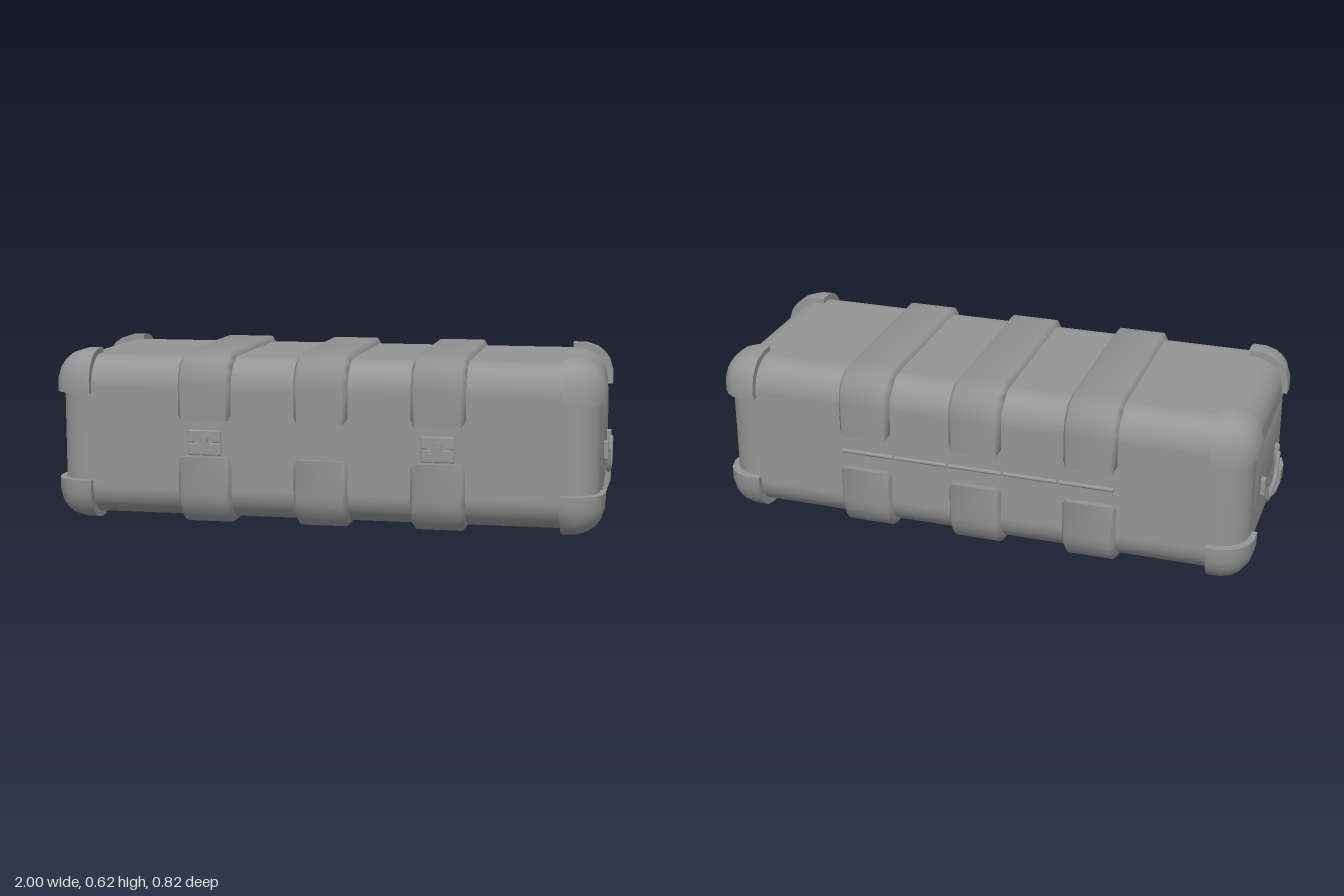
import * as THREE from 'three';
import { toCreasedNormals } from 'three/addons/utils/BufferGeometryUtils.js';
import { RoundedBoxGeometry } from 'three/addons/geometries/RoundedBoxGeometry.js';

const MID = 0.31; // height of the case centre
const material = new THREE.MeshStandardMaterial({ color: 0x959595 });

function add(parent, name, geometry, x = 0, y = 0, z = 0) {
  const mesh = new THREE.Mesh(geometry, material);
  mesh.name = name;
  mesh.position.set(x, y, z);
  parent.add(mesh);
  return mesh;
}

// Box from min to max whose outward edges and corner are rounded, mirrored into an octant
function cornerGeometry(min, max, r, sx, sy, sz) {
  const size = max.clone().sub(min);
  const geo = new THREE.BoxGeometry(size.x, size.y, size.z, 3, 3, 3);
  const mid = min.clone().add(max).multiplyScalar(0.5);
  const pos = geo.attributes.position;
  const p = new THREE.Vector3();
  const limit = max.clone().subScalar(r);
  for (let i = 0; i < pos.count; i++) {
    p.fromBufferAttribute(pos, i).add(mid);
    const q = p.clone().min(limit);
    const d = p.clone().sub(q);
    const length = d.length();
    if (length > 1e-6) p.copy(q).addScaledVector(d, Math.max(d.x, d.y, d.z) / length);
    pos.setXYZ(i, p.x * sx, p.y * sy, p.z * sz);
  }
  // An odd number of mirrors turns the faces inside out, so flip them back
  if (sx * sy * sz < 0) {
    const index = geo.index;
    for (let i = 0; i < index.count; i += 3) {
      const a = index.getX(i);
      index.setX(i, index.getX(i + 1));
      index.setX(i + 1, a);
    }
  }
  return toCreasedNormals(geo, 0.7);
}

// U-shaped band over the lid with softly sloped sides, running from the front edge to the back edge
function strapGeometry(end, width) {
  const w = 0.41, h = 0.31, r = 0.115, t = 0.06, ri = r - t;
  const s = new THREE.Shape();
  s.moveTo(w, end);
  s.lineTo(w, h - r);
  s.absarc(w - r, h - r, r, 0, Math.PI / 2, false);
  s.lineTo(-w + r, h);
  s.absarc(-w + r, h - r, r, Math.PI / 2, Math.PI, false);
  s.lineTo(-w, end);
  s.lineTo(-w + t, end);
  s.lineTo(-w + t, h - r);
  s.absarc(-w + r, h - r, ri, Math.PI, Math.PI / 2, true);
  s.lineTo(w - r, h - t);
  s.absarc(w - r, h - r, ri, Math.PI / 2, 0, true);
  s.lineTo(w - t, end);
  s.closePath();
  const bevel = 0.014;
  const geo = new THREE.ExtrudeGeometry(s, {
    depth: width - 2 * bevel, curveSegments: 3, bevelEnabled: true,
    bevelSize: 0.02, bevelThickness: bevel, bevelOffset: -0.02, bevelSegments: 1,
  });
  geo.translate(0, 0, -width / 2 + bevel).rotateY(-Math.PI / 2);
  return toCreasedNormals(geo, 1.1);
}

function createLatch() {
  const latch = new THREE.Group();
  latch.name = 'latch';
  add(latch, 'latchBase', new RoundedBoxGeometry(0.12, 0.045, 0.014, 2, 0.005), 0, 0.277, 0.385);
  add(latch, 'latchPlate', new RoundedBoxGeometry(0.12, 0.045, 0.014, 2, 0.005), 0, 0.323, 0.387);
  // Butterfly turn key on a round boss
  const key = new THREE.Shape();
  key.moveTo(-0.058, 0);
  key.quadraticCurveTo(-0.03, 0.01, 0, 0.03);
  key.quadraticCurveTo(0.03, 0.01, 0.058, 0);
  key.quadraticCurveTo(0.03, -0.01, 0, -0.03);
  key.quadraticCurveTo(-0.03, -0.01, -0.058, 0);
  add(latch, 'turnKey', new THREE.ExtrudeGeometry(key, { depth: 0.012, curveSegments: 5, bevelEnabled: false }), 0, 0.315, 0.391);
  add(latch, 'latchBoss', new THREE.CylinderGeometry(0.014, 0.016, 0.016, 16).rotateX(Math.PI / 2), 0, 0.315, 0.402);
  return latch;
}

// Shallow raised panel with sloped borders, with a carrying handle on it
function createCaseEnd() {
  const end = new THREE.Group();
  end.name = 'caseEnd';
  const outline = new THREE.Shape();
  outline.moveTo(-0.22, -0.085);
  outline.lineTo(0.22, -0.085);
  outline.lineTo(0.22, 0.085);
  outline.lineTo(-0.22, 0.085);
  outline.closePath();
  const panel = new THREE.ExtrudeGeometry(outline, {
    depth: 0.004, bevelEnabled: true, bevelSize: 0.03, bevelThickness: 0.009, bevelSegments: 1,
  });
  add(end, 'endPanel', toCreasedNormals(panel.rotateY(Math.PI / 2), 0.3), 0.963, 0.335, 0);

  for (const side of [-1, 1]) {
    add(end, 'handleMount', new RoundedBoxGeometry(0.026, 0.065, 0.03, 2, 0.004), 0.979, 0.278, side * 0.138);
  }
  const half = [[0.13, 0.284], [0.117, 0.278], [0.108, 0.25], [0.098, 0.217], [0.085, 0.2], [0.065, 0.195], [0.025, 0.195]];
  const path = [...half, ...half.map(([z, y]) => [-z, y]).reverse()];
  const curve = new THREE.CatmullRomCurve3(path.map(([z, y]) => new THREE.Vector3(0.991, y, z)));
  add(end, 'handleBar', new THREE.TubeGeometry(curve, 48, 0.009, 8));
  return end;
}

export function createModel() {
  const model = new THREE.Group();
  model.name = 'travelCase';

  add(model, 'caseBody', new RoundedBoxGeometry(1.94, 0.58, 0.772, 5, 0.11), 0, MID, 0);

  // Eight corner guards
  const min = new THREE.Vector3(0.84, 0.158, 0.245);
  const max = new THREE.Vector3(0.99, 0.31, 0.41);
  for (const sx of [-1, 1]) for (const sy of [-1, 1]) for (const sz of [-1, 1]) {
    add(model, 'cornerGuard', cornerGeometry(min, max, 0.115, sx, sy, sz), 0, MID, 0);
  }

  // Three bands on the lid and three on the base
  const lidBand = strapGeometry(0.07, 0.192);
  const baseBand = strapGeometry(0.06, 0.192).rotateX(Math.PI);
  for (const x of [-0.42, 0, 0.415]) {
    add(model, 'lidBand', lidBand, x, MID, 0);
    add(model, 'baseBand', baseBand, x, MID, 0);
  }

  // Front latches
  for (const x of [-0.42, 0.415]) {
    const latch = createLatch();
    latch.position.x = x;
    model.add(latch);
  }

  // Long rear hinge made of knuckles
  for (let i = 0; i < 5; i++) {
    const knuckle = new THREE.CylinderGeometry(0.008, 0.008, 0.196, 10).rotateZ(Math.PI / 2);
    add(model, 'hingeKnuckle', knuckle, (i - 2) * 0.204, MID, -0.387);
  }

  // Panels and handles on both ends
  const left = createCaseEnd();
  const right = createCaseEnd();
  right.rotation.y = Math.PI;
  model.add(left, right);

  return model;
}
